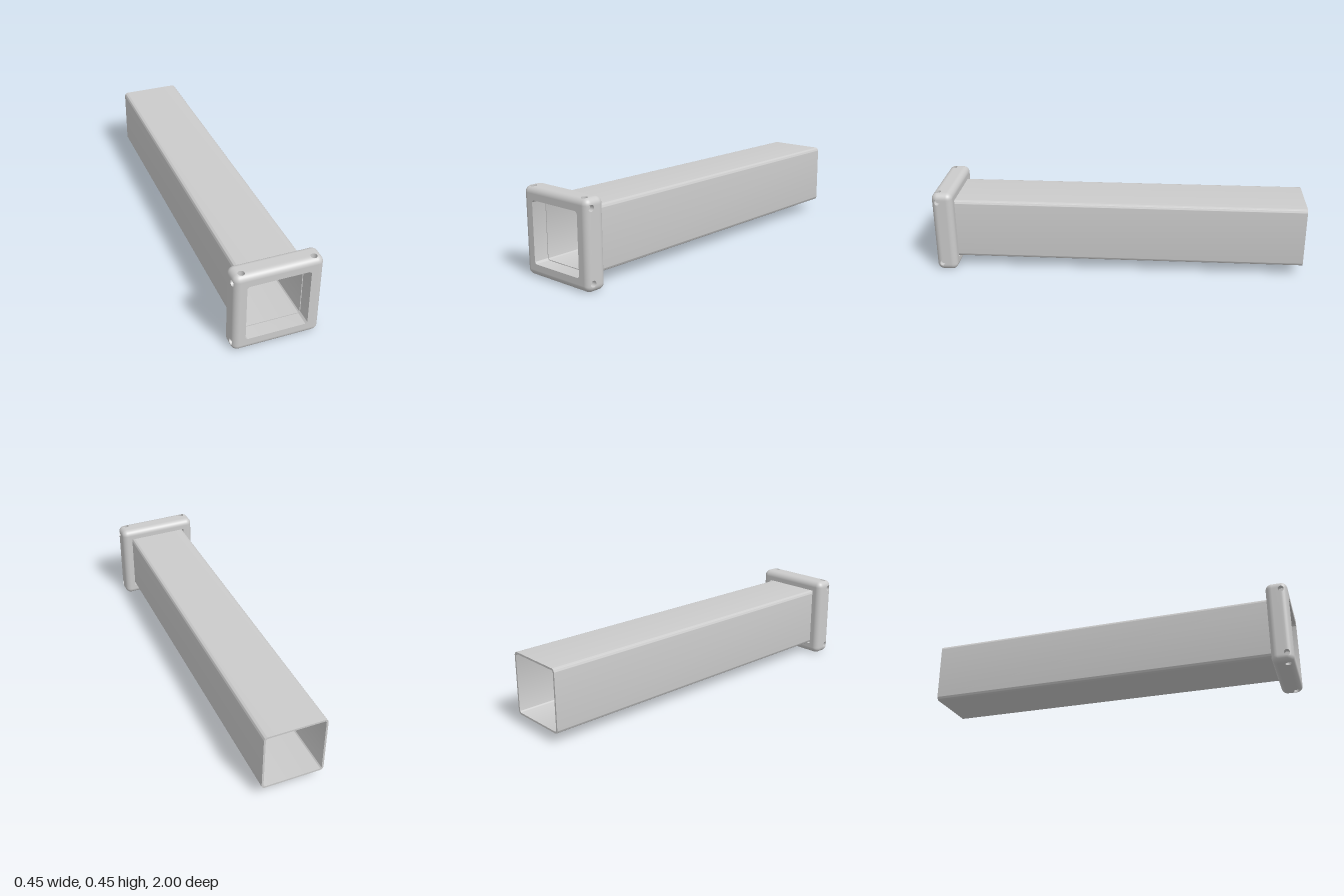
import * as THREE from 'three';
import { toCreasedNormals } from 'three/addons/utils/BufferGeometryUtils.js';

const H = 0.226, D = 0.056, R = 0.033;       // collar half width, half depth, edge radius
const ZC = 1 - D;                            // collar centre along z
const LIP = 0.92;                            // where the tube meets the collar lip
const HOLE = { u: 0.181, v: 0.025, rad: 0.0165, cell: 0.024, depth: 0.028 };

const material = new THREE.MeshStandardMaterial({ color: 0xcccccc });

// Rounded square outline, as a shape or a hole
function square(half, r, path = new THREE.Shape()) {
  const c = half - r;
  if (r === 0) {
    path.moveTo(-half, -half).lineTo(half, -half).lineTo(half, half).lineTo(-half, half);
  } else {
    path.absarc(c, c, r, 0, Math.PI / 2);
    path.absarc(-c, c, r, Math.PI / 2, Math.PI);
    path.absarc(-c, -c, r, Math.PI, Math.PI * 1.5);
    path.absarc(c, -c, r, Math.PI * 1.5, Math.PI * 2);
  }
  path.closePath();
  return path;
}

// Square sleeve between z0 and z1
function sleeve(name, outer, outerR, inner, innerR, z0, z1) {
  const shape = square(outer, outerR);
  shape.holes.push(square(inner, innerR, new THREE.Path()));
  const geo = new THREE.ExtrudeGeometry(shape, { depth: z1 - z0, bevelEnabled: false, curveSegments: 8 });
  geo.translate(0, 0, z0);
  const mesh = new THREE.Mesh(toCreasedNormals(geo, 0.6), material);
  mesh.name = name;
  return mesh;
}

// Pull a point of the collar's bounding box onto its rounded surface
function rounded(x, y, z) {
  const p = new THREE.Vector3(x, y, z);
  const core = p.clone().clamp(
    new THREE.Vector3(R - H, R - H, R - D), new THREE.Vector3(H - R, H - R, D - R));
  const n = p.sub(core).normalize();
  return { p: core.addScaledVector(n, R), n };
}

// Collects grid patches; each sample f(a, b) gives a point p and a normal n
class Surface {
  pos = [];
  nor = [];
  patch(nu, nv, f) {
    for (let i = 0; i < nu; i++) for (let j = 0; j < nv; j++) {
      for (const [a, b] of [[0, 0], [1, 0], [1, 1], [0, 0], [1, 1], [0, 1]]) {
        const { p, n } = f((i + a) / nu, (j + b) / nv);
        this.pos.push(p.x, p.y, p.z);
        this.nor.push(n.x, n.y, n.z);
      }
    }
  }
  geometry() {
    const geo = new THREE.BufferGeometry();
    geo.setAttribute('position', new THREE.Float32BufferAttribute(this.pos, 3));
    geo.setAttribute('normal', new THREE.Float32BufferAttribute(this.nor, 3));
    return geo;
  }
}

// Point and direction on a unit square's rim, t in 0..1
function rim(t) {
  const k = Math.floor(t * 4) % 4, e = 2 * (t * 4 - Math.floor(t * 4)) - 1;
  const sq = [[e, -1], [1, e], [-e, 1], [-1, -e]][k];
  const l = Math.hypot(sq[0], sq[1]);
  return { sq, dir: [sq[0] / l, sq[1] / l] };
}

const mix = THREE.MathUtils.lerp;

// One outer side of the collar, with two blind round holes
function sidePanel() {
  const s = new Surface();
  const on = (u, v) => rounded(-u, H, v);
  const { u: hu, v: hv, rad, cell, depth } = HOLE;
  const us = [-H, -hu - cell, -hu + cell, hu - cell, hu + cell, H];
  const vs = [-D, R - D, hv - cell, hv + cell, D];
  for (let i = 0; i < 5; i++) for (let j = 0; j < 4; j++) {
    if (j === 2 && (i === 1 || i === 3)) continue;
    s.patch(6, 6, (a, b) => on(mix(us[i], us[i + 1], a), mix(vs[j], vs[j + 1], b)));
  }
  for (const cu of [-hu, hu]) {
    const edge = (b) => {
      const { sq, dir } = rim(b);
      const top = on(cu + dir[0] * rad, hv + dir[1] * rad);
      const low = top.p.clone().setY(H - depth);
      return { sq, dir, top, low };
    };
    // surface around the hole
    s.patch(5, 24, (a, b) => {
      const { sq, dir } = rim(b);
      return on(cu + mix(dir[0] * rad, sq[0] * cell, a), hv + mix(dir[1] * rad, sq[1] * cell, a));
    });
    // hole wall
    s.patch(1, 24, (a, b) => {
      const { dir, top, low } = edge(b);
      return { p: low.lerp(top.p, a), n: new THREE.Vector3(dir[0], 0, -dir[1]) };
    });
    // hole floor
    const centre = on(cu, hv).p.setY(H - depth);
    s.patch(1, 24, (a, b) => ({ p: centre.clone().lerp(edge(b).low, a), n: new THREE.Vector3(0, 1, 0) }));
  }
  return s.geometry();
}

// Rounded border around the front (dir 1) or back (dir -1) face
function faceBorder(dir) {
  const s = new Surface();
  const c = [-H, R - H, H - R, H];
  for (let i = 0; i < 3; i++) for (let j = 0; j < 3; j++) {
    if (i === 1 && j === 1) continue;
    s.patch(6, 6, (a, b) => rounded(dir * mix(c[i], c[i + 1], a), mix(c[j], c[j + 1], b), dir * D));
  }
  return s.geometry();
}

export function createModel() {
  const model = new THREE.Group();
  model.name = 'tubeWithCollar';

  // Long hollow square tube
  model.add(sleeve('tube', 0.167, 0.02, 0.157, 0.012, -1, LIP));

  // Collar: front lip, rear socket and rounded outer skin
  const collar = new THREE.Group();
  collar.name = 'collar';
  collar.add(sleeve('collarLip', H - R, 0, 0.161, 0.016, LIP, 1));
  collar.add(sleeve('collarSocket', H - R, 0, 0.17, 0, ZC - D, LIP));

  const skin = new THREE.Group();
  skin.name = 'collarSkin';
  skin.position.z = ZC;
  const side = sidePanel();
  ['top', 'left', 'bottom', 'right'].forEach((label, k) => {
    const mesh = new THREE.Mesh(side, material);
    mesh.name = label + 'Side';
    mesh.rotation.z = -k * Math.PI / 2;
    skin.add(mesh);
  });
  for (const dir of [1, -1]) {
    const mesh = new THREE.Mesh(faceBorder(dir), material);
    mesh.name = dir > 0 ? 'frontBorder' : 'backBorder';
    skin.add(mesh);
  }
  // Hole walls face inward to their own axis
  const nor = side.attributes.normal, pos = side.attributes.position;
  for (let i = 0; i < nor.count; i++) {
    const inHole = Math.abs(nor.getY(i)) < 1e-6 && Math.abs(pos.getX(i)) < HOLE.u + HOLE.cell;
    if (inHole) nor.setXYZ(i, nor.getX(i), 0, nor.getZ(i));
  }
  collar.add(skin);
  model.add(collar);

  model.position.y = H;
  const root = new THREE.Group();
  root.name = 'model';
  root.add(model);
  return root;
}
